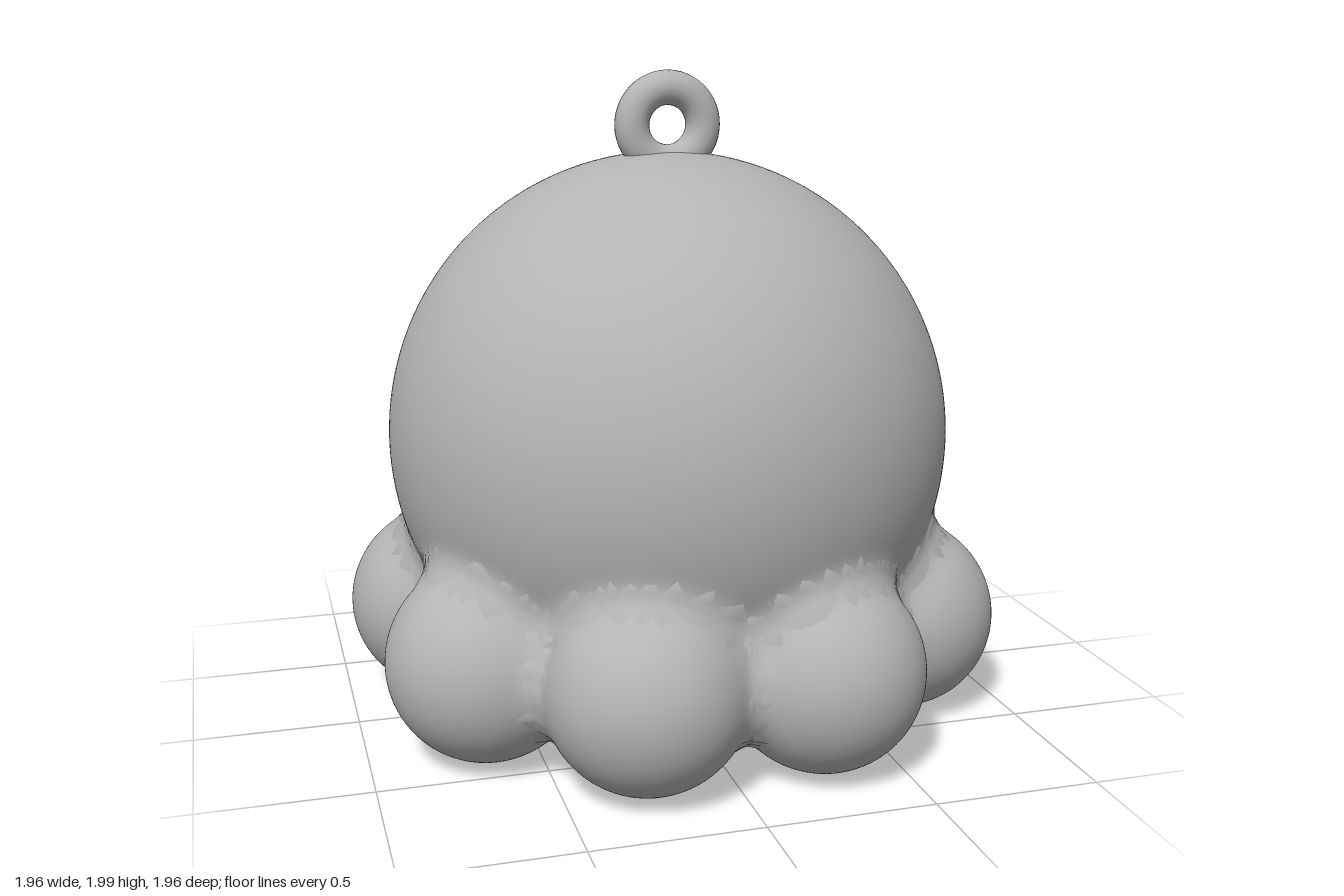
import * as THREE from 'three';
import { mergeVertices } from 'three/addons/utils/BufferGeometryUtils.js';

const BODY = { centre: new THREE.Vector3(0, 0.885, 0), radius: 0.87 };
const FOOT_RADIUS = 0.3;
// Eight slightly uneven feet around the body, as x, z
const FEET = [
  [0.68, -0.28], [0.68, 0.28], [0.28, 0.67], [-0.25, 0.68],
  [-0.645, 0.335], [-0.685, -0.25], [-0.31, -0.67], [0.27, -0.685],
].map(([x, z]) => ({ centre: new THREE.Vector3(x, 0.305, z), radius: FOOT_RADIUS }));
const BALLS = [BODY, ...FEET];
const BLEND = 0.1;

// Distance to all the balls melted softly together
function meltedDistance(p) {
  let d = Infinity;
  for (const ball of BALLS) {
    const e = p.distanceTo(ball.centre) - ball.radius;
    if (d === Infinity) { d = e; continue; }
    const h = Math.max(BLEND - Math.abs(d - e), 0) / BLEND;
    d = Math.min(d, e) - h * h * BLEND / 4;
  }
  return d;
}

// A ball whose surface swells into fillets where it meets its neighbours
function meltedBall(ball, detail) {
  const raw = new THREE.IcosahedronGeometry(1, detail);
  raw.deleteAttribute('uv');
  raw.deleteAttribute('normal');
  const geometry = mergeVertices(raw, 1e-5);
  const position = geometry.attributes.position;
  const n = new THREE.Vector3();
  const p = new THREE.Vector3();
  const limit = ball.radius + 0.09;
  for (let i = 0; i < position.count; i++) {
    n.fromBufferAttribute(position, i).normalize();
    let t = ball.radius;
    for (let step = 0; step < 25 && t < limit; step++) {
      const d = meltedDistance(p.copy(ball.centre).addScaledVector(n, t));
      if (Math.abs(d) < 1e-4) break;
      t = Math.min(t - d, limit);
    }
    p.copy(ball.centre).addScaledVector(n, t);
    position.setXYZ(i, p.x, p.y, p.z);
  }
  geometry.computeVertexNormals();
  return geometry;
}

export function createModel() {
  const model = new THREE.Group();
  model.name = 'octopusCharm';
  const grey = new THREE.MeshStandardMaterial({ color: 0xb4b4b4 });
  grey.name = 'plain grey';

  const add = (name, geometry) => {
    const mesh = new THREE.Mesh(geometry, grey);
    mesh.name = name;
    model.add(mesh);
    return mesh;
  };

  // Body and feet
  add('body', meltedBall(BODY, 36));
  FEET.forEach((foot, i) => add(`foot${i + 1}`, meltedBall(foot, 20)));

  // Hanging loop on top
  add('hangingLoop', new THREE.TorusGeometry(0.112, 0.053, 24, 48)).position.set(0, 1.835, 0);

  // Round mouth on the rear face, leaning with the body
  const mouth = add('mouth', new THREE.TorusGeometry(0.1, 0.046, 20, 48));
  mouth.position.set(0.003, 0.925, -0.888);
  mouth.scale.z = 0.8;
  mouth.rotation.x = 0.05;

  // Oval eyes lying flat on the body
  for (const side of [1, -1]) {
    const eye = add(side > 0 ? 'leftEye' : 'rightEye', new THREE.SphereGeometry(1, 32, 20));
    const out = new THREE.Vector3(side * 0.31, 0.22, -0.8).normalize();
    eye.position.copy(BODY.centre).addScaledVector(out, 0.872);
    eye.lookAt(eye.position.clone().add(out));
    eye.scale.set(0.072, 0.1, 0.048);
  }
  return model;
}
